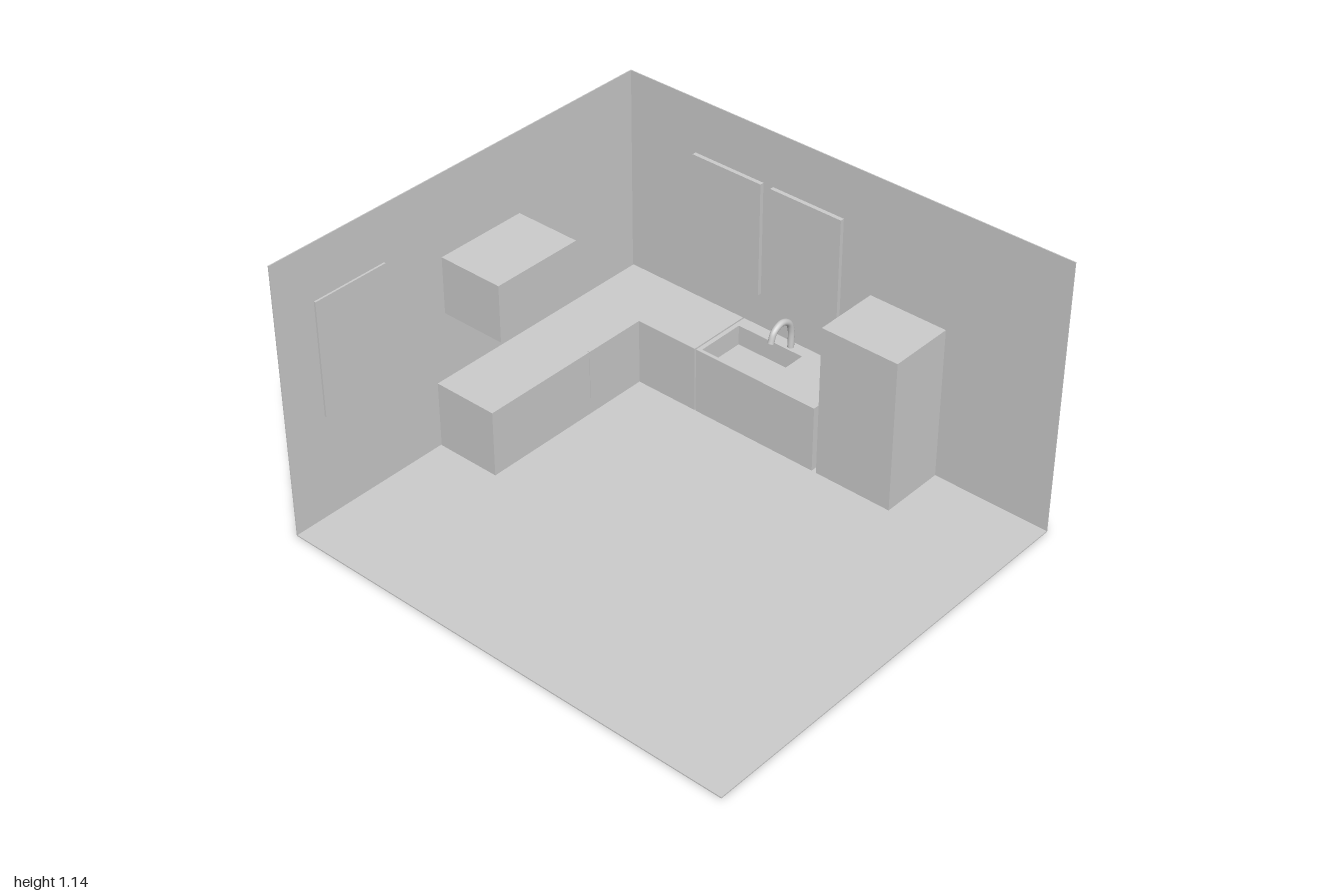
import * as THREE from 'three';

const material = new THREE.MeshStandardMaterial({ color: 0xcccccc });

export function createModel() {
  const room = new THREE.Group();
  room.name = 'kitchenRoom';

  const add = (name, geometry, parent = room) => {
    const mesh = new THREE.Mesh(geometry, material);
    mesh.name = name;
    parent.add(mesh);
    return mesh;
  };

  // Box given by its two extents along each axis
  const box = (name, [x0, x1], [y0, y1], [z0, z1], parent) => {
    const mesh = add(name, new THREE.BoxGeometry(x1 - x0, y1 - y0, z1 - z0), parent);
    mesh.position.set((x0 + x1) / 2, (y0 + y1) / 2, (z0 + z1) / 2);
    return mesh;
  };

  // Upright prism from a plan outline of [x, z] points, with optional holes
  const prism = (name, plan, y0, y1, holes = [], parent) => {
    const toPoints = (list) => list.map(([x, z]) => new THREE.Vector2(x, -z));
    const shape = new THREE.Shape(toPoints(plan));
    holes.forEach((hole) => shape.holes.push(new THREE.Path(toPoints(hole))));
    const geometry = new THREE.ExtrudeGeometry(shape, { depth: y1 - y0, bevelEnabled: false });
    geometry.rotateX(-Math.PI / 2).translate(0, y0, 0);
    return add(name, geometry, parent);
  };
  const rect = (x0, x1, z0, z1) => [[x0, z0], [x0, z1], [x1, z1], [x1, z0]];

  // Floor and the two thin walls
  const floorTop = 0.005;
  box('floor', [-0.9, 0.876], [0, floorTop], [-0.977, 1]);
  box('backWall', [-0.9, 0.876], [0, 1.137], [-0.977, -0.973]);
  box('leftWall', [0.872, 0.876], [0, 1.137], [-0.977, 1]);

  // Windows, set through the walls
  const sill = [0.43, 0.91];
  box('backWindow', [-0.725, -0.4], sill, [-1, -0.965]);
  [-0.655, -0.285].forEach((z) => box('sideWindow', [0.855, 0.895], sill, [z, z + 0.325]));

  // L-shaped corner counter with an appliance door on its front
  const counterTop = 0.285;
  prism('cornerCounter', [
    [-0.19, -0.97], [-0.19, -0.692], [0.595, -0.692],
    [0.595, -0.414], [0.872, -0.414], [0.872, -0.97],
  ], floorTop, counterTop);
  box('applianceDoor', [0.32, 0.58], [0.067, 0.287], [-0.7, -0.69]);

  // Sink counter: cabinet below, top part open around the basin
  const sink = new THREE.Group();
  sink.name = 'sinkCounter';
  room.add(sink);
  const basinFloor = 0.2;
  box('sinkCabinet', [0.595, 0.872], [floorTop, basinFloor], [-0.408, 0.154], sink);
  prism('sinkTop', rect(0.595, 0.872, -0.408, 0.154), basinFloor, counterTop,
    [rect(0.61, 0.82, -0.39, -0.085)], sink);

  // Arched tap over the basin
  const tapPath = new THREE.CatmullRomCurve3([
    [0.842, 0.28], [0.842, 0.36], [0.825, 0.4], [0.783, 0.42], [0.74, 0.4], [0.724, 0.36],
  ].map(([x, y]) => new THREE.Vector3(x, y, -0.157)));
  add('tap', new THREE.TubeGeometry(tapPath, 32, 0.013, 16), sink);
  const outlet = add('tapOutlet', new THREE.CircleGeometry(0.013, 16), sink);
  outlet.position.set(0.724, 0.36, -0.157);
  outlet.rotation.x = Math.PI / 2;

  // Refrigerator and the wall cupboard
  box('refrigerator', [0.595, 0.872], [floorTop, 0.645], [0.174, 0.508]);
  box('wallCupboard', [-0.13, 0.265], [0.562, 0.8], [-0.973, -0.692]);

  return room;
}
